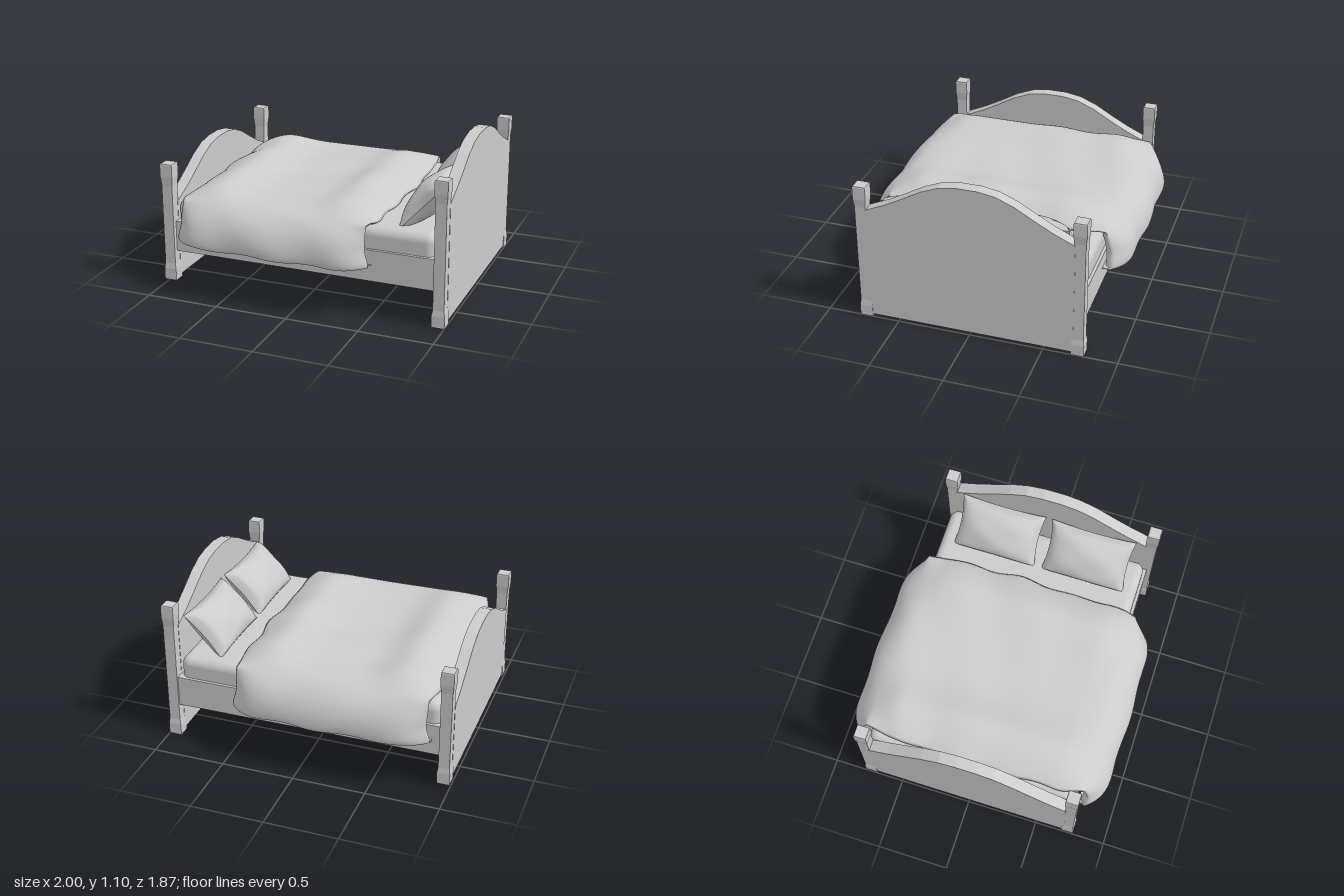
import * as THREE from 'three';
import { RoundedBoxGeometry } from 'three/addons/geometries/RoundedBoxGeometry.js';

const flat = new THREE.MeshStandardMaterial({ color: 0xcccccc, flatShading: true });
const smooth = new THREE.MeshStandardMaterial({ color: 0xcccccc });
const cloth = new THREE.MeshStandardMaterial({ color: 0xcccccc, side: THREE.DoubleSide });

function add(parent, name, geometry, material, x = 0, y = 0, z = 0) {
  const mesh = new THREE.Mesh(geometry, material);
  mesh.name = name;
  mesh.position.set(x, y, z);
  parent.add(mesh);
  return mesh;
}

// Square post with a flared foot and a heavier cap
function postGeometry(bottom, top) {
  const profile = [[0, bottom], [0.044, bottom], [0.044, bottom + 0.08], [0.038, bottom + 0.12],
    [0.038, top - 0.15], [0.044, top - 0.09], [0.044, top - 0.006], [0.041, top], [0, top]];
  const points = profile.map(([r, y]) => new THREE.Vector2(r * Math.SQRT2, y));
  return new THREE.LatheGeometry(points, 4, Math.PI / 4);
}

// Arched end panel, extruded along x
function panelGeometry(bottom, side, depth) {
  const arch = [[0.7, -0.008], [0.56, 0.055], [0.44, 0.12], [0.31, 0.195], [0.19, 0.245], [0.07, 0.265]];
  const shape = new THREE.Shape();
  shape.moveTo(-0.7, bottom);
  shape.lineTo(0.7, bottom);
  arch.forEach(([z, y]) => shape.lineTo(z, side + y));
  [...arch].reverse().forEach(([z, y]) => shape.lineTo(-z, side + y));
  const geometry = new THREE.ExtrudeGeometry(shape, { depth, bevelEnabled: false });
  return geometry.translate(0, 0, -depth / 2).rotateY(Math.PI / 2);
}

function bedEnd(name, x, bottom, top, panelBottom, side) {
  const end = new THREE.Group();
  end.name = name;
  add(end, name + 'Panel', panelGeometry(panelBottom, side, 0.08), flat, x);
  for (const s of [-1, 1]) add(end, name + 'Post', postGeometry(bottom, top), flat, x, 0, s * 0.73);
  return end;
}

// Cushion pinched to its corners, leaning and pressed against board and mattress
function pillowGeometry(z0, bend) {
  const tilt = 0.82, normal = [-Math.sin(tilt), Math.cos(tilt)];
  const geometry = new THREE.SphereGeometry(1, 64, 48);
  const p = geometry.attributes.position;
  const box = new THREE.BoxGeometry(2, 2, 2, 28, 2, 28);
  const q = box.attributes.position;
  for (let i = 0; i < q.count; i++) {
    const u = q.getX(i), v = q.getZ(i), side = q.getY(i);
    const rise = Math.pow(Math.max(0, (1 - u * u) * (1 - v * v)), 0.42);
    const a = 0.195 * u * (1 - 0.07 * (1 - v * v));
    const b = 0.305 * v * (1 - 0.07 * (1 - u * u));
    const crease = 0.006 * Math.sin(5 * u + bend) * Math.sin(4 * v + 2 * bend) * rise;
    const h = side * rise * (side > 0 ? 0.115 : 0.09) + crease;
    const x = 0.772 + a * Math.cos(tilt) + h * normal[0];
    const y = 0.722 + a * Math.sin(tilt) + h * normal[1];
    q.setXYZ(i, Math.min(x, 0.912), Math.max(y, 0.592), z0 + b);
  }
  box.computeVertexNormals();
  return box;
}

// Draped cover: a cross-section swept along x, with rounded corners and tucked hems
function duvetGeometry() {
  const half = [[0.75, 0.36], [0.87, 0.35], [0.918, 0.355], [0.925, 0.41], [0.9, 0.5], [0.845, 0.575],
    [0.76, 0.63], [0.6, 0.655], [0.3, 0.65]];
  const points = half.map(([z, y]) => new THREE.Vector3(0, y, -z));
  points.push(new THREE.Vector3(0, 0.65, 0));
  [...half].reverse().forEach(([z, y]) => points.push(new THREE.Vector3(0, y, z)));
  const path = new THREE.CatmullRomCurve3(points, false, 'centripetal');
  path.arcLengthDivisions = 1000;
  const NX = 96, NZ = 140;
  const section = path.getSpacedPoints(NZ);
  const geometry = new THREE.PlaneGeometry(1, 1, NX, NZ);
  const p = geometry.attributes.position;
  const bump = (x, c, w) => Math.exp(-(((x - c) / w) ** 2));
  for (let i = 0; i < p.count; i++) {
    const col = i % (NX + 1), row = Math.floor(i / (NX + 1));
    const base = section[row];
    // two columns at each end form the turned-in hem
    const tuck = Math.max(0, 2 - col, col - (NX - 2));
    const U = THREE.MathUtils.clamp((col - NX / 2) / (NX / 2 - 2), -1, 1);
    const az = Math.abs(base.z);
    const onTop = 1 - THREE.MathUtils.smoothstep(az, 0.58, 0.82);
    const low = 1 - THREE.MathUtils.smoothstep(base.y, 0.36, 0.48);
    const end = Math.abs(U);
    const width = 0.655 + 0.035 * onTop + 0.02 * bump(base.z, -0.1, 0.15) * onTop + 0.025 * low * (1 - onTop)
      + 0.006 * Math.sin(17 * base.z + 3 * U);
    let x = -0.185 + U * width;
    let y = base.y, z = base.z;
    // padded ridges near both ends, then a soft fall to the hem
    y += onTop * (0.066 * bump(x, -0.63, 0.17) + 0.066 * bump(x, 0.27, 0.17)) * (0.75 + 0.25 * Math.cos(3 * z));
    y -= onTop * 0.05 * Math.pow(end, 10);
    // gentle wrinkles
    y += onTop * (0.006 * Math.sin(7 * x + 5 * z) * Math.sin(6 * z - 2 * x) + 0.004 * Math.sin(13 * z + 4 * x));
    const hang = 1 - onTop;
    const over = Math.max(0, az - 0.765);
    const corner = 1 - 0.75 * Math.pow(end, 7);
    const fold = 0.008 * Math.sin(11 * x + 9 * y) * hang * Math.min(1, over * 12);
    z = Math.sign(z) * (az - over * (1 - corner) + fold);
    y += low * hang * 0.005 * Math.sin(15 * x);
    if (tuck) {
      x -= Math.sign(U) * 0.022 * tuck;
      y -= onTop * 0.018 * tuck;
      z -= Math.sign(z) * hang * 0.02 * tuck;
    }
    p.setXYZ(i, x, y, z);
  }
  geometry.computeVertexNormals();
  return geometry;
}

export function createModel() {
  const bed = new THREE.Group();
  bed.name = 'bed';

  // Wooden frame
  bed.add(bedEnd('headboard', 0.957, 0, 0.99, 0.02, 0.832));
  bed.add(bedEnd('footboard', -0.957, 0.03, 0.86, 0.05, 0.592));
  add(bed, 'frame', new THREE.BoxGeometry(1.84, 0.215, 1.49), flat, 0, 0.3425, -0.01);

  // Bedding
  add(bed, 'mattress', new RoundedBoxGeometry(1.82, 0.25, 1.45, 5, 0.06), smooth, -0.005, 0.473, -0.01);
  add(bed, 'duvet', duvetGeometry(), cloth);
  add(bed, 'leftPillow', pillowGeometry(0.32, 0.4), smooth);
  add(bed, 'rightPillow', pillowGeometry(-0.335, 1.7), smooth);
  return bed;
}
